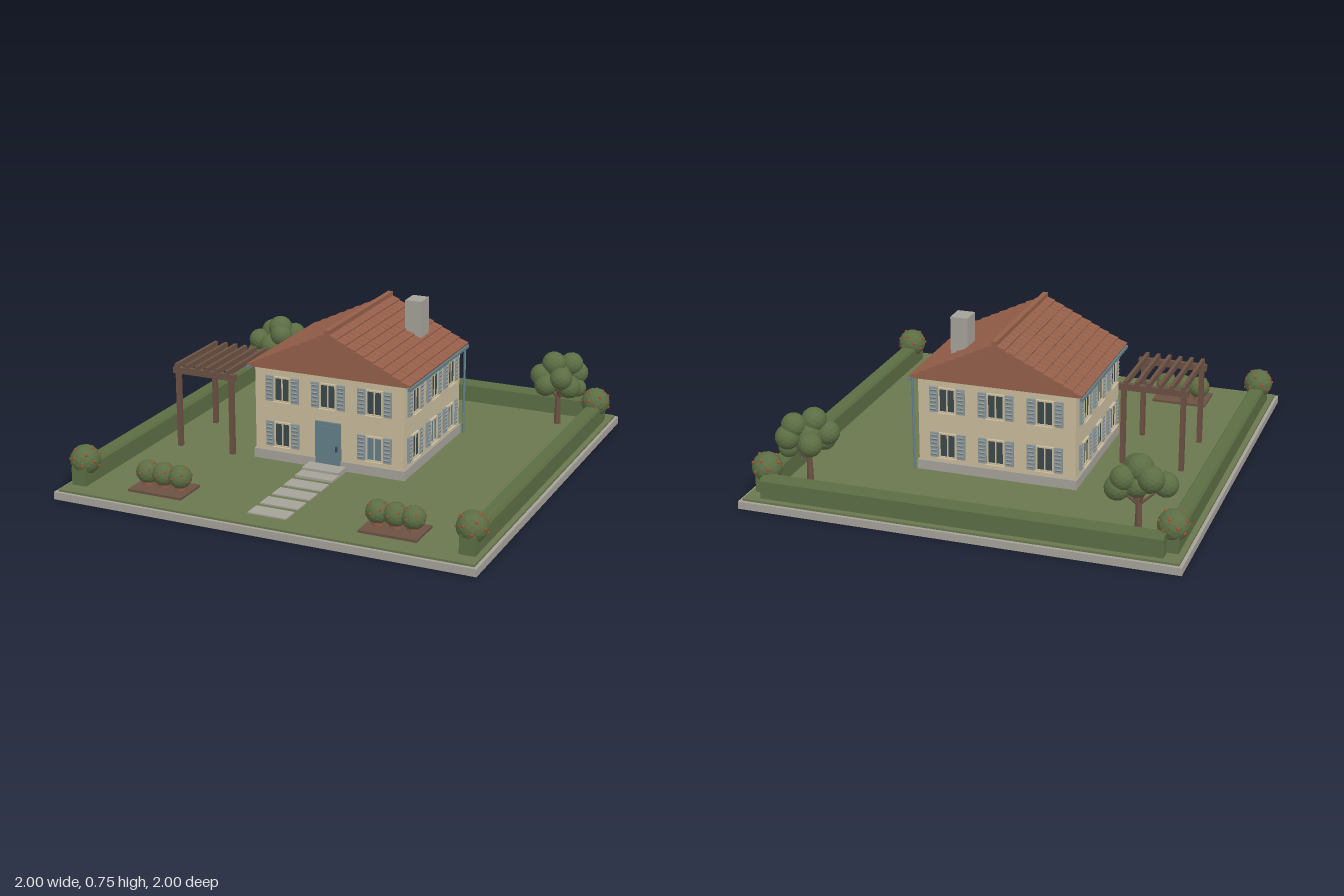
import * as THREE from 'three';
import { mergeGeometries } from 'three/addons/utils/BufferGeometryUtils.js';

export function createModel() {
  const root = new THREE.Group();
  root.name = 'houseWithGarden';
  const mat = (name, color, flat = true) => {
    const m = new THREE.MeshStandardMaterial({ color, flatShading: flat });
    m.name = name;
    return m;
  };
  const stone = mat('stone', 0xa5a298), grass = mat('grass', 0x6a774e), leaf = mat('foliage', 0x5c6e44);
  const plaster = mat('plaster', 0xc9bc9c), tile = mat('terracotta', 0x955f4a), wood = mat('wood', 0x6b5143);
  const shutterGrey = mat('shutterGrey', 0x8c979a), glass = mat('glass', 0x3c484a);
  const teal = mat('teal', 0x64808a), red = mat('flowerRed', 0xb0492f);

  const add = (parent, name, geo, material, x = 0, y = 0, z = 0) => {
    const m = new THREE.Mesh(geo, material);
    m.name = name;
    m.position.set(x, y, z);
    parent.add(m);
    return m;
  };
  // box given by its min and max on each axis
  const span = (parent, name, material, x0, x1, y0, y1, z0, z1) =>
    add(parent, name, new THREE.BoxGeometry(x1 - x0, y1 - y0, z1 - z0), material,
      (x0 + x1) / 2, (y0 + y1) / 2, (z0 + z1) / 2);
  const group = (parent, name, x = 0, y = 0, z = 0) => {
    const g = new THREE.Group();
    g.name = name;
    g.position.set(x, y, z);
    parent.add(g);
    return g;
  };
  const G = 0.045; // lawn level

  // Ground
  span(root, 'baseSlab', stone, -1, 1, 0, 0.035, -1, 1);
  span(root, 'lawn', grass, -0.985, 0.985, 0.035, G, -0.985, 0.985);

  // House body
  const house = group(root, 'house');
  const zc = -0.085, hx = 0.37, hz = 0.342;
  span(house, 'walls', plaster, -hx, hx, G, 0.495, zc - hz, zc + hz);
  span(house, 'plinth', stone, -hx - 0.008, hx + 0.008, G, 0.09, zc - hz - 0.008, zc + hz + 0.008);

  // Roof: solid gable with overlapping rows of tiles
  const eave = 0.4, eaveY = 0.488, apexY = 0.682, z0 = -0.45, z1 = 0.275;
  const gable = new THREE.Shape([[-eave, eaveY], [eave, eaveY], [0, apexY]].map(p => new THREE.Vector2(...p)));
  add(house, 'roofGable', new THREE.ExtrudeGeometry(gable, { depth: z1 - z0 - 0.01, bevelEnabled: false }),
    tile, 0, 0, z0 + 0.005);
  const tiles = [], rows = 9, cols = 16, pitch = Math.atan2(apexY - eaveY, eave);
  const rowLen = Math.hypot(eave, apexY - eaveY) / rows, colW = (z1 - z0) / cols;
  for (const side of [-1, 1]) for (let r = 0; r < rows; r++) for (let c = 0; c < cols; c++) {
    const t = (r + 0.5) / rows;
    const g = new THREE.BoxGeometry(rowLen * 1.1, 0.01, colW - 0.003);
    g.rotateZ(-side * (pitch - 0.12));
    g.translate(side * eave * (1 - t), eaveY + (apexY - eaveY) * t + 0.006, z0 + colW * (c + 0.5));
    tiles.push(g);
  }
  add(house, 'roofTiles', mergeGeometries(tiles), tile);
  span(house, 'ridgeCap', tile, -0.012, 0.012, 0.675, 0.707, z0, z1);
  span(house, 'chimney', stone, 0.177, 0.258, 0.54, 0.745, -0.305, -0.207);
  for (const s of [-1, 1]) {
    add(house, 'gutter', new THREE.BoxGeometry(0.014, 0.014, z1 - z0), teal, s * 0.401, 0.482, (z0 + z1) / 2);
  }
  add(house, 'downpipe', new THREE.CylinderGeometry(0.006, 0.006, 0.44, 8), teal, 0.392, 0.265, -0.437);

  // Windows with frames, mullions, sills and louvred shutters, facing local +z
  const addWindow = (parent, x, y, pane) => {
    const w = group(parent, 'window', x, y, 0);
    const box = (name, m, bw, bh, bd, px, py, pz) => add(w, name, new THREE.BoxGeometry(bw, bh, bd), m, px, py, pz);
    box('pane', pane, 0.078, 0.115, 0.006, 0, 0, 0.003);
    for (const s of [-1, 1]) {
      box('frameSide', plaster, 0.007, 0.12, 0.012, s * 0.038, 0, 0.006);
      box('frameRail', plaster, 0.08, 0.007, 0.012, 0, s * 0.0565, 0.006);
      box('shutter', shutterGrey, 0.038, 0.12, 0.01, s * 0.064, 0, 0.006);
      for (let i = 0; i < 6; i++) {
        box('shutterSlat', shutterGrey, 0.028, 0.008, 0.006, s * 0.064, -0.046 + i * 0.0184, 0.012).rotation.x = 0.5;
      }
    }
    box('mullion', plaster, 0.006, 0.115, 0.01, 0, 0, 0.005);
    box('sill', plaster, 0.09, 0.008, 0.022, 0, -0.063, 0.011);
  };
  const walls = [
    { name: 'frontWindows', pos: [0, 0, zc + hz], rot: 0, cols: [-0.23, 0, 0.23], door: true, lit: [0.23] },
    { name: 'backWindows', pos: [0, 0, zc - hz], rot: Math.PI, cols: [-0.23, 0, 0.23], lit: [] },
    { name: 'leftWindows', pos: [hx, 0, zc], rot: Math.PI / 2, cols: [-0.222, 0, 0.21], lit: [0, 0.21] },
    { name: 'rightWindows', pos: [-hx, 0, zc], rot: -Math.PI / 2, cols: [-0.21, 0, 0.222], lit: [] },
  ];
  for (const w of walls) {
    const g = group(house, w.name, ...w.pos);
    g.rotation.y = w.rot;
    for (const x of w.cols) {
      addWindow(g, x, 0.394, glass);
      if (!(w.door && x === 0)) addWindow(g, x, 0.175, w.lit.includes(x) ? teal : glass);
    }
  }

  // Front door, landing and path
  span(house, 'door', teal, -0.063, 0.063, 0.06, 0.27, 0.25, 0.268);
  span(house, 'doorPanel', teal, -0.045, 0.045, 0.085, 0.25, 0.266, 0.271);
  add(house, 'doorHandle', new THREE.BoxGeometry(0.008, 0.024, 0.012), glass, 0.047, 0.15, 0.275);
  span(root, 'landing', stone, -0.092, 0.092, G, 0.068, 0.257, 0.35);
  span(root, 'lowerStep', stone, -0.092, 0.092, G, 0.056, 0.35, 0.42);
  for (let i = 0; i < 4; i++) {
    span(root, 'pathSlab', stone, -0.092, 0.092, 0.04, 0.051, 0.452 + i * 0.116, 0.536 + i * 0.116);
  }

  // Hedges along the back and both sides, with chamfered tops
  const hedge = (name, length, x, z, turn) => {
    const w = 0.036;
    const s = new THREE.Shape([[-w, 0], [w, 0], [w, 0.082], [w - 0.008, 0.095], [-w + 0.008, 0.095], [-w, 0.082]]
      .map(p => new THREE.Vector2(...p)));
    const g = new THREE.ExtrudeGeometry(s, { depth: length, bevelEnabled: false });
    g.translate(0, 0, -length / 2);
    add(root, name, g, leaf, x, G, z).rotation.y = turn;
  };
  hedge('backHedge', 1.82, 0, -0.922, Math.PI / 2);
  for (const s of [-1, 1]) hedge('sideHedge', 1.81, s * 0.924, 0.005, 0);

  // Ball shrubs dotted with flowers
  const shrub = (parent, r, x, y, z, flowers) => {
    add(parent, 'shrubBall', new THREE.IcosahedronGeometry(r, 2), leaf, x, y, z);
    for (let i = 0; i < flowers; i++) {
      const a = i * 2.4, h = 0.9 - 1.3 * (i + 0.5) / flowers, q = Math.sqrt(1 - h * h);
      add(parent, 'flower', new THREE.IcosahedronGeometry(r * 0.12, 0), red,
        x + Math.cos(a) * q * r * 0.97, y + h * r * 0.97, z + Math.sin(a) * q * r * 0.97);
    }
  };
  for (const sx of [-1, 1]) for (const sz of [-1, 1]) {
    const p = group(root, 'pottedShrub', sx * 0.923, 0, sz * 0.85);
    add(p, 'pot', new THREE.CylinderGeometry(0.036, 0.029, 0.06, 12), tile, 0, G + 0.03, 0);
    add(p, 'potRim', new THREE.CylinderGeometry(0.04, 0.04, 0.012, 12), tile, 0, G + 0.06, 0);
    shrub(p, 0.069, 0, 0.15, 0, 14);
  }

  // Flower beds
  for (const s of [-1, 1]) {
    const bed = group(root, 'flowerBed', s * 0.557, 0, 0.79);
    span(bed, 'soil', wood, -0.133, 0.133, 0.04, 0.056, -0.088, 0.088);
    for (const x of [-0.082, 0, 0.082]) {
      add(bed, 'stem', new THREE.CylinderGeometry(0.03, 0.026, 0.04, 10), tile, x, 0.075, -0.003);
      shrub(bed, 0.053, x, 0.116, -0.003, 10);
    }
  }

  // Trees: trunk, branches and clustered leaf balls [x, y, z, r]
  const tree = (x, z, balls) => {
    const t = group(root, 'tree', x, G, z);
    add(t, 'trunk', new THREE.CylinderGeometry(0.011, 0.017, 0.2, 8), wood, 0, 0.1, 0);
    const up = new THREE.Vector3(0, 1, 0), start = new THREE.Vector3(0, 0.13, 0);
    for (const [bx, by, bz, r] of balls) {
      add(t, 'leafBall', new THREE.IcosahedronGeometry(r, 2), leaf, bx, by, bz);
      const d = new THREE.Vector3(bx, by, bz).sub(start), len = d.length();
      const b = add(t, 'branch', new THREE.CylinderGeometry(0.004, 0.007, len, 6), wood);
      b.position.copy(start).addScaledVector(d, 0.5);
      b.quaternion.setFromUnitVectors(up, d.normalize());
    }
  };
  tree(-0.75, -0.76, [
    [-0.11, 0.23, 0.02, 0.055], [-0.06, 0.27, -0.035, 0.058], [0, 0.3, 0, 0.062], [0.03, 0.28, 0.055, 0.055],
    [0.085, 0.215, -0.04, 0.056], [0.06, 0.265, -0.045, 0.055], [-0.03, 0.22, 0.055, 0.055], [0.01, 0.23, -0.01, 0.06],
  ]);
  tree(0.76, -0.76, [
    [-0.075, 0.25, 0.04, 0.055], [-0.02, 0.31, 0.02, 0.058], [0.05, 0.3, -0.04, 0.056], [0.07, 0.25, -0.065, 0.056],
    [0.06, 0.2, 0.02, 0.056], [-0.045, 0.21, 0.065, 0.055], [0, 0.25, 0, 0.066], [0.03, 0.25, 0.06, 0.055],
    [0.085, 0.185, -0.03, 0.045], [-0.03, 0.22, -0.05, 0.055],
  ]);

  // Pergola
  const pergola = group(root, 'pergola');
  for (const z of [-0.075, 0.272]) {
    span(pergola, 'beam', wood, -0.788, -0.465, 0.406, 0.436, z - 0.012, z + 0.012);
    for (const x of [-0.765, -0.488]) span(pergola, 'post', wood, x - 0.011, x + 0.011, 0.04, 0.41, z - 0.011, z + 0.011);
  }
  for (let i = 0; i < 6; i++) {
    const x = -0.765 + i * 0.053;
    span(pergola, 'rafter', wood, x - 0.008, x + 0.008, 0.43, 0.457, -0.1, 0.295);
  }
  return root;
}
